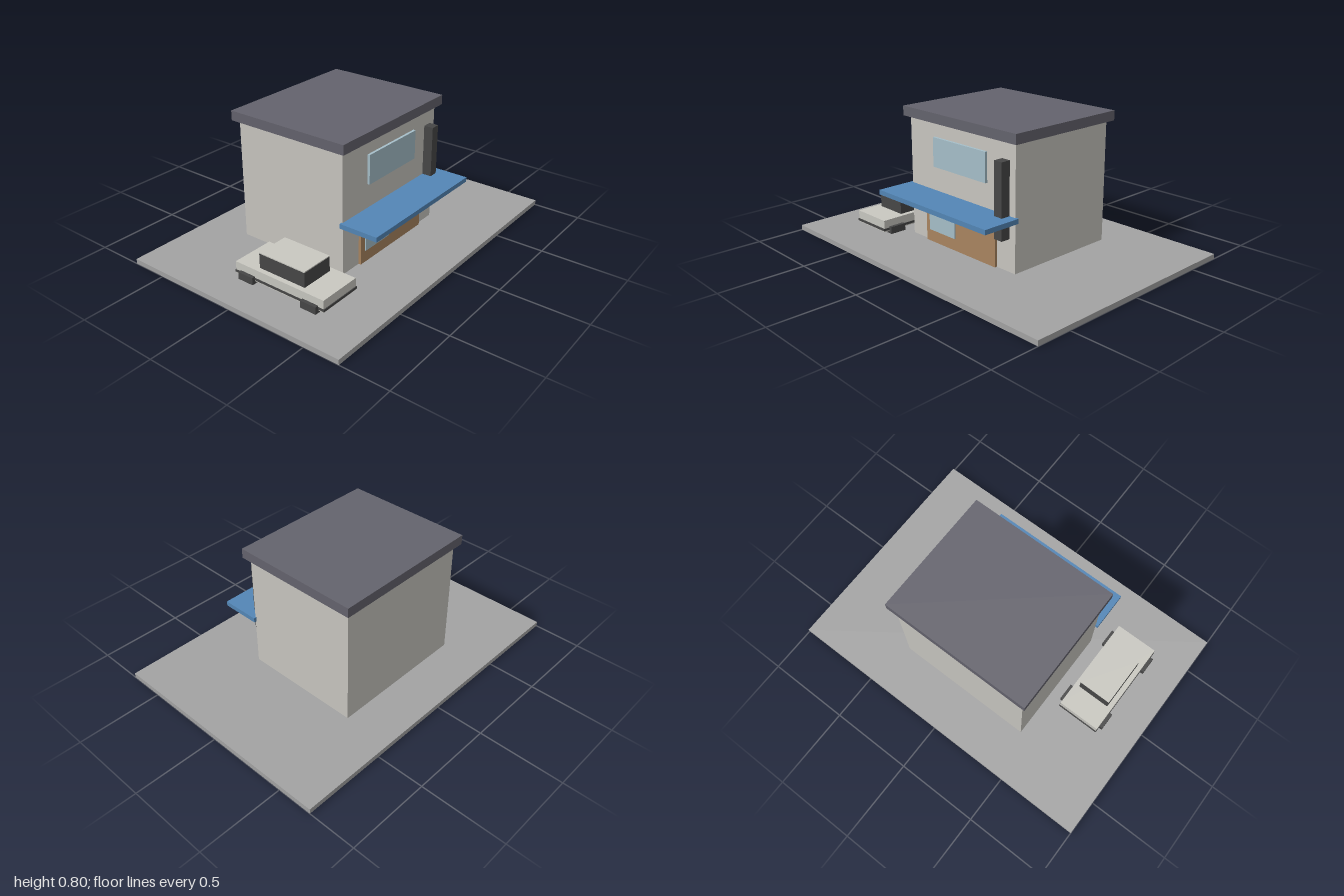
import * as THREE from 'three';

const mat = (name, color) => {
  const m = new THREE.MeshStandardMaterial({ color });
  m.name = name;
  return m;
};

// Box given by its min and max along each axis
function block(parent, name, material, [x0, x1], [y0, y1], [z0, z1]) {
  const mesh = new THREE.Mesh(new THREE.BoxGeometry(x1 - x0, y1 - y0, z1 - z0), material);
  mesh.position.set((x0 + x1) / 2, (y0 + y1) / 2, (z0 + z1) / 2);
  mesh.name = name;
  parent.add(mesh);
  return mesh;
}

export function createModel() {
  const paving = mat('paving grey', 0xa3a3a3);
  const wall = mat('pale wall', 0xc8c6c0);
  const slate = mat('slate roof', 0x64636d);
  const blue = mat('awning blue', 0x5386b6);
  const wood = mat('wood brown', 0xa98560);
  const glass = mat('glass', 0xa6bfc9);
  const dark = mat('dark grey', 0x474747);
  const paint = mat('car paint', 0xc9c8c1);

  const model = new THREE.Group();
  model.name = 'shopWithCar';
  block(model, 'ground', paving, [-1, 1], [0, 0.03], [-0.714, 0.714]);

  // Shop building
  const shop = new THREE.Group();
  shop.name = 'shop';
  model.add(shop);
  block(shop, 'walls', wall, [-0.426, 0.426], [0.03, 0.746], [-0.427, 0.287]);
  block(shop, 'roof', slate, [-0.457, 0.457], [0.746, 0.803], [-0.457, 0.317]);
  block(shop, 'shopFront', wood, [-0.287, 0.287], [0.03, 0.318], [0.28, 0.302]);
  block(shop, 'shopWindow', glass, [-0.252, -0.034], [0.103, 0.25], [0.3, 0.309]);
  block(shop, 'upperWindow', glass, [-0.214, 0.214], [0.488, 0.66], [0.28, 0.302]);
  block(shop, 'awning', blue, [-0.443, 0.443], [0.317, 0.345], [0.28, 0.516]);
  block(shop, 'signPost', dark, [0.327, 0.383], [0.217, 0.647], [0.28, 0.344]);

  // Parked car
  const car = new THREE.Group();
  car.name = 'car';
  car.position.set(-0.646, 0, 0.141);
  model.add(car);
  block(car, 'carBody', paint, [-0.13, 0.13], [0.045, 0.116], [-0.301, 0.301]);
  block(car, 'carSkirt', dark, [-0.133, 0.133], [0.052, 0.066], [-0.306, 0.306]);
  block(car, 'carCabin', dark, [-0.1, 0.1], [0.116, 0.203], [-0.154, 0.154]);
  block(car, 'carRoof', paint, [-0.1, 0.1], [0.203, 0.209], [-0.154, 0.154]);
  for (const x of [-0.13, 0.13]) {
    for (const z of [-0.215, 0.215]) {
      block(car, 'wheel', dark, [x - 0.021, x + 0.021], [0.002, 0.073], [z - 0.051, z + 0.051]);
    }
  }
  return model;
}
